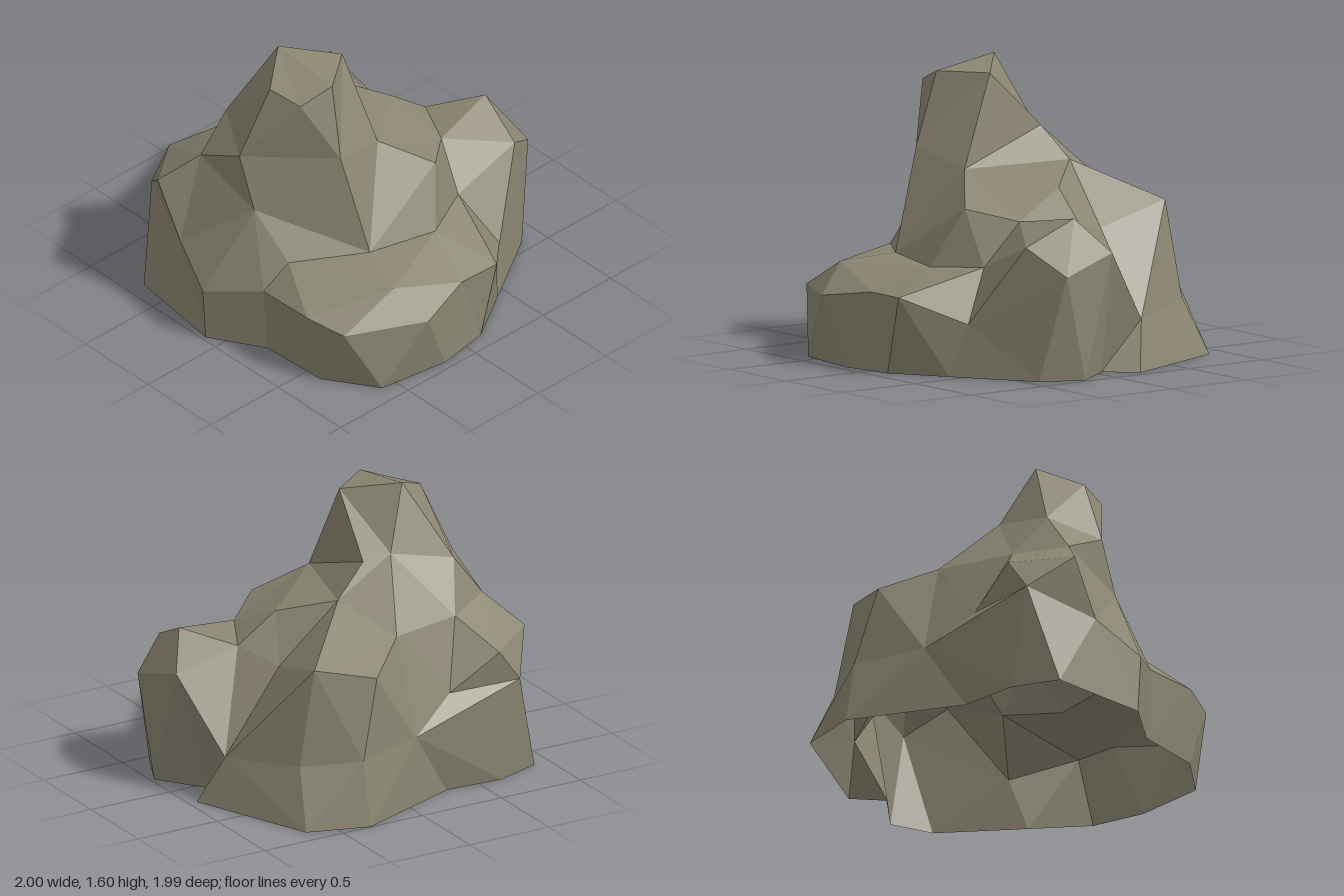
import * as THREE from 'three';

// Irregular cross-section loops, each running from +x round by the front (+z)
const base = [
  [0.98, 0.2], [0.87, 0.43], [0.43, 0.71], [0.13, 0.9], [-0.18, 0.95], [-0.59, 0.89],
  [-0.78, 0.6], [-0.8, 0.2], [-0.98, -0.1], [-0.9, -0.68], [-0.64, -0.77], [-0.3, -0.75],
  [0.33, -1], [0.67, -0.89], [0.95, -0.2], [0.8, -0.05],
].map(([x, z]) => [x, 0, z]);

const ledge = [
  [1, 0.58, 0.34], [0.51, 0.29, 0.64], [0.24, 0.43, 0.91], [-0.01, 0.43, 0.9],
  [-0.34, 0.38, 0.99], [-0.76, 0.37, 0.77], [-0.83, 0.41, 0.55], [-0.83, 0.4, 0.2],
  [-1, 0.32, -0.1], [-0.91, 0.47, -0.38], [-0.75, 0.57, -0.78], [-0.07, 0.38, -0.82],
  [0.33, 0.36, -0.93], [0.62, 0.32, -0.74], [0.83, 0.27, -0.3], [0.96, 0.68, 0],
];

const towerFoot = [
  [0.45, 0.81, 0.24], [0.22, 0.87, 0.44], [-0.32, 0.57, 0.5], [-0.73, 0.8, 0.02],
  [-0.74, 0.95, -0.4], [-0.47, 0.92, -0.56], [-0.04, 0.92, -0.66], [0.14, 1.06, -0.34],
  [0.38, 0.96, -0.08],
];

// Touches the tower foot on the left and at the back
const shoulder = [
  [0.84, 0.87, 0.17], [0.79, 0.73, 0.46], [0.39, 0.57, 0.44], [0.09, 0.55, 0.58],
  [-0.42, 0.54, 0.8], [-0.69, 0.55, 0.25], towerFoot[3], towerFoot[4],
  [-0.91, 0.78, -0.56], [-0.62, 0.75, -0.78], [-0.34, 0.55, -0.72], towerFoot[6],
  [0.21, 0.8, -0.87], [0.51, 0.85, -0.71], [0.48, 0.73, -0.29], [0.6, 0.79, -0.05],
];

const towerWaist = [
  [-0.03, 1.04, 0.25], [-0.37, 1.13, 0.32], [-0.73, 1.1, -0.1], [-0.57, 1.18, -0.38],
  [-0.2, 1.26, -0.33], [-0.05, 1.23, -0.29],
];

const peak = [
  [-0.09, 1.54, 0.03], [-0.33, 1.54, 0.21], [-0.52, 1.47, 0.16], [-0.56, 1.5, -0.04],
  [-0.35, 1.6, -0.2],
];

const dist = (p, q) => Math.hypot(p[0] - q[0], p[1] - q[1], p[2] - q[2]);

// Joins two closed loops of different counts by the shortest cross edges;
// ties are [lower, upper] corners that should share a ridge or crease
function stitch(lower, upper, ties = []) {
  const n = lower.length, m = upper.length;
  const a = (i) => lower[i % n], b = (j) => upper[j % m];
  const edgeCost = (i, j) =>
    dist(a(i), b(j)) - (ties.some(([p, q]) => p === i % n && q === j % m) ? 1 : 0);
  const cost = [], stepLower = [];
  for (let i = 0; i <= n; i++) {
    cost.push([]);
    stepLower.push([]);
    for (let j = 0; j <= m; j++) {
      const viaA = i > 0 ? cost[i - 1][j] : Infinity;
      const viaB = j > 0 ? cost[i][j - 1] : Infinity;
      stepLower[i][j] = viaA < viaB;
      cost[i][j] = (i + j === 0 ? 0 : Math.min(viaA, viaB)) + edgeCost(i, j);
    }
  }
  const triangles = [];
  for (let i = n, j = m; i + j > 0;) {
    const corners = stepLower[i][j]
      ? [a(--i), b(j), a(i + 1)]
      : [a(i), b(--j), b(j + 1)];
    // Loops that touch leave no face between them
    if (new Set(corners).size === 3) triangles.push(...corners);
  }
  return triangles;
}

// Closes the top with a fan from the highest corner
function cap(loop) {
  const triangles = [], last = loop.length - 1;
  for (let i = 0; i < last - 1; i++) triangles.push(loop[last], loop[i + 1], loop[i]);
  return triangles;
}

export function createModel() {
  const model = new THREE.Group();
  model.name = 'rock';

  const stone = new THREE.MeshStandardMaterial({
    color: 0x8b8672, flatShading: true, side: THREE.DoubleSide,
  });
  stone.name = 'stone';

  const add = (name, triangles) => {
    const geometry = new THREE.BufferGeometry();
    geometry.setAttribute('position', new THREE.Float32BufferAttribute(triangles.flat(), 3));
    geometry.computeVertexNormals();
    const mesh = new THREE.Mesh(geometry, stone);
    mesh.name = name;
    model.add(mesh);
  };

  // Bands from the open underside up to the peak
  add('lowerWall', stitch(base, ledge, [[13, 13], [14, 14], [15, 14], [15, 15]]));
  add('ledge', stitch(ledge, shoulder, [
    [1, 1], [1, 2], [2, 2], [7, 5], [8, 6], [9, 6], [9, 7], [9, 8], [10, 9], [10, 10],
    [11, 10], [11, 11], [11, 12], [12, 12], [13, 13], [14, 13], [14, 14], [14, 15], [15, 15],
  ]));
  add('shoulder', stitch(shoulder, towerFoot, [
    [2, 0], [2, 1], [3, 1], [3, 2], [5, 2], [6, 3], [7, 4], [8, 4], [9, 5], [10, 5],
    [11, 6], [13, 7], [14, 7], [15, 8],
  ]));
  add('towerBase', stitch(towerFoot, towerWaist, [[2, 1], [3, 2], [7, 0]]));
  add('tower', stitch(towerWaist, peak));
  add('peak', cap(peak));

  return model;
}
